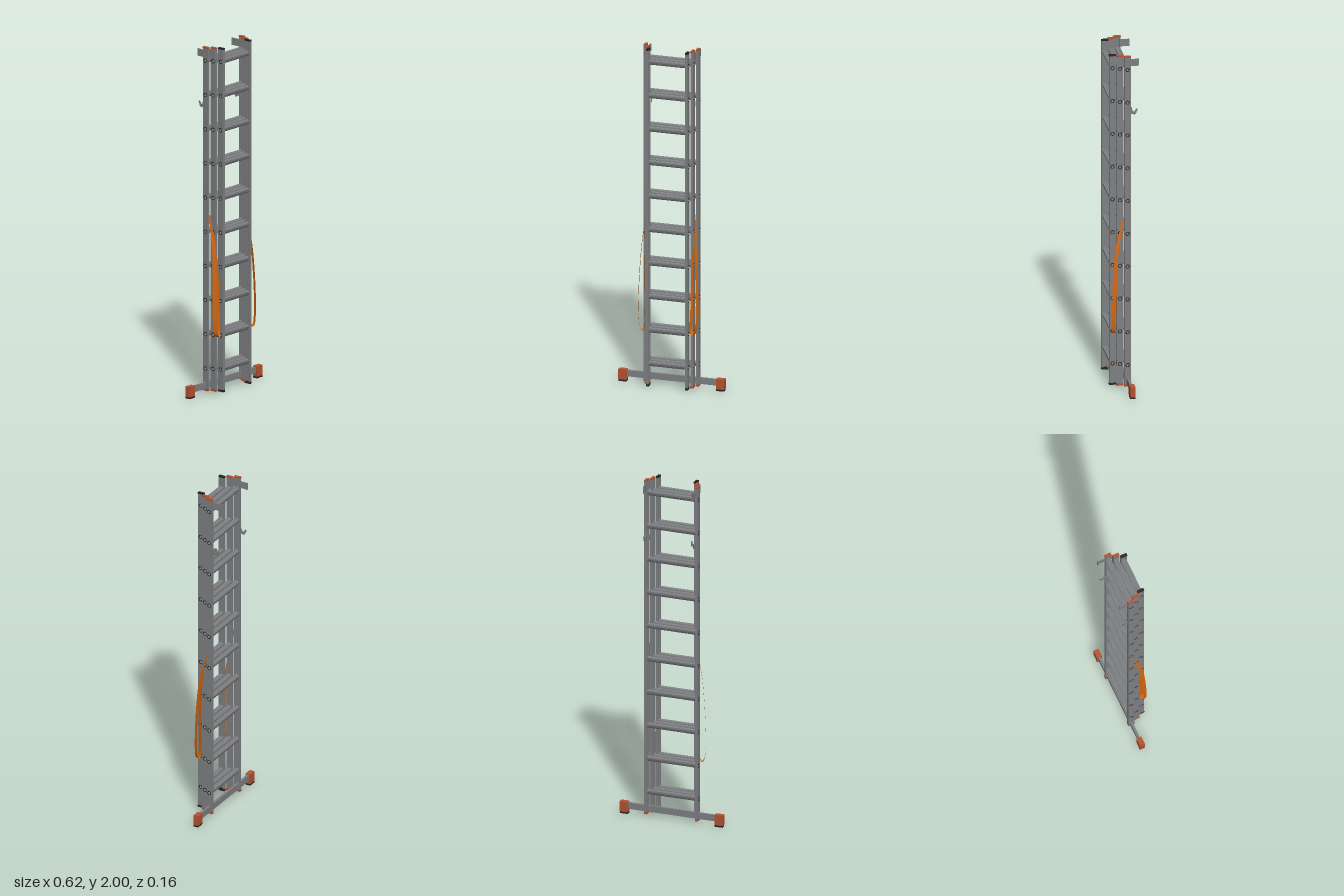
import * as THREE from 'three';

const mat = (name, color) => {
  const m = new THREE.MeshStandardMaterial({ color, side: THREE.DoubleSide });
  m.name = name;
  return m;
};

export function createModel() {
  const aluminium = mat('aluminium', 0x7d7f82);
  const black = mat('black plastic', 0x242426);
  const red = mat('red plastic', 0xb4522f);
  const orange = mat('orange strap', 0xd9690f);

  const root = new THREE.Group();
  root.name = 'ladder';

  const add = (parent, name, geo, material, x = 0, y = 0, z = 0) => {
    const m = new THREE.Mesh(geo, material);
    m.name = name;
    m.position.set(x, y, z);
    parent.add(m);
    return m;
  };
  const box = (parent, name, w, h, d, material, x, y, z) =>
    add(parent, name, new THREE.BoxGeometry(w, h, d), material, x, y, z);

  const BOTTOM = 0.022, TOP = 1.995, DEPTH = 0.037, RAIL = 0.015;
  const rungY = Array.from({ length: 10 }, (_, i) => 0.145 + i * 0.1973);

  // Shape drawn in (z, y), extruded along x and centred on it
  const extrudeX = (shape, length) => {
    const g = new THREE.ExtrudeGeometry(shape, { depth: length, bevelEnabled: false, curveSegments: 8 });
    g.translate(0, 0, -length / 2);
    g.rotateY(-Math.PI / 2);
    return g;
  };
  const polygon = (pts) => new THREE.Shape(pts.map(([a, b]) => new THREE.Vector2(a, b)));

  // Rail web pierced by the hollow rungs
  const web = polygon([[-DEPTH / 2, BOTTOM], [DEPTH / 2, BOTTOM], [DEPTH / 2, TOP], [-DEPTH / 2, TOP]]);
  for (const y of rungY) web.holes.push(new THREE.Path().absarc(0, y, 0.009, 0, Math.PI * 2, true));
  const webGeo = extrudeX(web, 0.004);

  // Hollow rung with a wide grooved tread
  const rung = polygon([
    [-0.015, 0.004], [-0.015, 0.012], [-0.006, 0.012], [-0.005, 0.0105], [0.005, 0.0105], [0.006, 0.012],
    [0.015, 0.012], [0.015, 0.004], [0.011, -0.007], [0.006, -0.012], [-0.006, -0.012], [-0.011, -0.007],
  ]);
  rung.holes.push(new THREE.Path().absarc(0, 0, 0.008, 0, Math.PI * 2, true));

  const sections = [
    { name: 'backSection', x: 0.16, z: -0.0165, cap: red },
    { name: 'middleSection', x: 0.14, z: 0.0225, cap: red },
    { name: 'frontSection', x: 0.121, z: 0.0615, cap: black },
  ];
  for (const { name, x, z, cap } of sections) {
    const g = new THREE.Group();
    g.name = name;
    g.position.z = z;
    root.add(g);
    const length = TOP - BOTTOM, mid = (TOP + BOTTOM) / 2;

    for (const s of [-1, 1]) {
      // Channel rail: outer web, two flanges and short inner lips
      add(g, 'railWeb', webGeo, aluminium, s * (x - 0.002));
      for (const f of [-1, 1]) {
        box(g, 'railFlange', RAIL, length, 0.003, aluminium, s * (x - RAIL / 2), mid, f * (DEPTH / 2 - 0.0015));
        box(g, 'railLip', 0.002, length, 0.008, aluminium, s * (x - RAIL + 0.001), mid, f * (DEPTH / 2 - 0.004));
      }
      // End caps
      box(g, 'topCap', RAIL + 0.001, 0.008, DEPTH + 0.001, cap, s * (x - RAIL / 2), TOP + 0.001, 0);
      box(g, 'bottomCap', RAIL + 0.001, 0.012, DEPTH + 0.001, cap, s * (x - RAIL / 2), BOTTOM, 0);
      // Dark collars around the rung ends
      for (const y of rungY) {
        const ring = new THREE.RingGeometry(0.008, 0.0125, 12).rotateY(Math.PI / 2);
        add(g, 'rungCollar', ring, black, s * (x + 0.0006), y);
      }
    }
    const rungGeo = extrudeX(rung, 2 * x - 0.008);
    for (const y of rungY) add(g, 'rung', rungGeo, aluminium, 0, y);
  }

  // Stabiliser bar with feet
  const stabiliser = new THREE.Group();
  stabiliser.name = 'stabiliser';
  root.add(stabiliser);
  box(stabiliser, 'stabiliserBar', 0.54, 0.036, 0.014, aluminium, 0, 0.047, -0.018);
  for (const s of [-1, 1]) {
    box(stabiliser, 'foot', 0.048, 0.06, 0.03, red, s * 0.285, 0.04, -0.018);
    box(stabiliser, 'footPad', 0.046, 0.01, 0.028, black, s * 0.285, 0.005, -0.018);
  }

  // Guide brackets and catch hooks on the back
  const catchShape = polygon([
    [-0.034, 1.65], [-0.034, 1.69], [-0.042, 1.685], [-0.047, 1.668], [-0.056, 1.66],
    [-0.068, 1.68], [-0.076, 1.676], [-0.066, 1.652], [-0.056, 1.642], [-0.046, 1.65],
  ]);
  for (const s of [-1, 1]) {
    box(root, 'guideBracket', 0.003, 0.042, 0.05, aluminium, s * 0.147, 1.957, -0.058);
    box(root, 'guideBracketLip', 0.008, 0.042, 0.003, aluminium, s * 0.1445, 1.957, -0.0825);
    box(root, 'sideGuide', 0.003, 0.05, 0.042, aluminium, s * 0.1435, 1.965, 0.0225);
    add(root, 'catchHook', extrudeX(catchShape, 0.004), aluminium, s * 0.148);
    box(root, 'catchTab', 0.003, 0.03, 0.014, aluminium, s * 0.127, 1.665, -0.04);
  }

  // Hanging strap: a flat ribbon swept along a loop; each point is x, y, z
  const strapPath = new THREE.CatmullRomCurve3([
    [0.146, 1.03, 0.002], [0.15, 0.94, 0.022], [0.158, 0.82, 0.045], [0.167, 0.65, 0.056],
    [0.171, 0.5, 0.061], [0.168, 0.4, 0.063], [0.158, 0.35, 0.064], [0.146, 0.338, 0.062],
    [0.136, 0.36, 0.058], [0.137, 0.48, 0.055], [0.14, 0.7, 0.052], [0.143, 0.93, 0.03],
  ].map((p) => new THREE.Vector3(...p)));
  const strap = (side) => {
    const N = 60, pos = [], idx = [];
    for (let i = 0; i <= N; i++) {
      const t = i / N, p = strapPath.getPoint(t);
      const half = 0.004 + 0.007 * Math.min(1, t * 4, (1 - t) * 6);
      for (const e of [-1, 1]) pos.push(side * (p.x - e * half * 0.4), p.y, p.z + e * half);
      if (i < N) {
        const a = 2 * i;
        idx.push(a, a + 2, a + 1, a + 1, a + 2, a + 3);
      }
    }
    const g = new THREE.BufferGeometry();
    g.setAttribute('position', new THREE.Float32BufferAttribute(pos, 3));
    g.setIndex(idx);
    g.computeVertexNormals();
    return g;
  };
  add(root, 'leftStrap', strap(1), orange);
  add(root, 'rightStrap', strap(-1), orange);

  return root;
}
